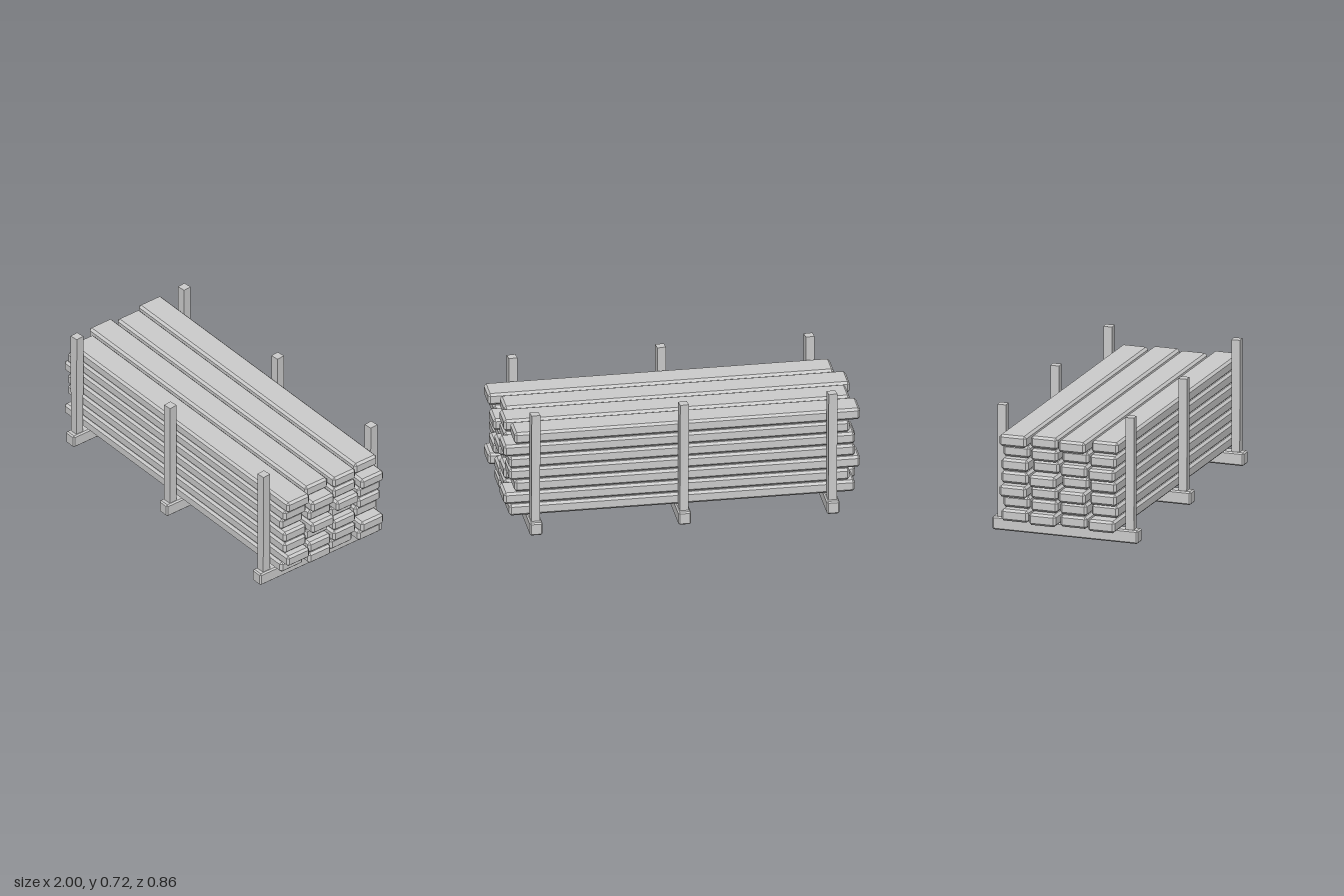
import * as THREE from 'three';
import { ConvexGeometry } from 'three/addons/geometries/ConvexGeometry.js';

const material = new THREE.MeshStandardMaterial({ color: 0xcccccc, flatShading: true });

// Box with every edge cut by a flat chamfer c
function chamferBox(w, h, d, c) {
  const points = [];
  for (const sx of [-1, 1]) for (const sy of [-1, 1]) for (const sz of [-1, 1]) {
    const x = w / 2, y = h / 2, z = d / 2;
    points.push(
      new THREE.Vector3(sx * x, sy * (y - c), sz * (z - c)),
      new THREE.Vector3(sx * (x - c), sy * y, sz * (z - c)),
      new THREE.Vector3(sx * (x - c), sy * (y - c), sz * z));
  }
  return new ConvexGeometry(points);
}

function addMesh(parent, name, geometry, x, y, z) {
  const mesh = new THREE.Mesh(geometry, material);
  mesh.name = name;
  mesh.position.set(x, y, z);
  parent.add(mesh);
  return mesh;
}

export function createModel() {
  const model = new THREE.Group();
  model.name = 'timberStack';

  // Stacked planks, bottom layer first; each row runs front to back,
  // giving the endwise shift of each plank in steps
  const shifts = [
    [-1, 0, -1, 0],
    [1, 0, 0, 1],
    [0, -1, 0, -1],
    [0, 1, -1, 0],
    [-1, 0, 1, 0],
    [0, 1, 0, 1],
    [1, -1, 0, -1],
  ];
  const planks = new THREE.Group();
  planks.name = 'planks';
  model.add(planks);
  const plank = chamferBox(1.94, 0.068, 0.158, 0.013);
  shifts.forEach((row, layer) => row.forEach((shift, column) => {
    addMesh(planks, 'plank', plank, shift * 0.03, 0.1215 + layer * 0.0728, 0.261 - column * 0.174);
  }));

  // Three racks: a cross bearer with an upright post at each end
  const bearer = chamferBox(0.072, 0.076, 0.86, 0.008);
  // Posts twist slightly from foot to top
  const post = new THREE.BoxGeometry(0.049, 0.65, 0.049);
  const p = post.attributes.position;
  const up = new THREE.Vector3(0, 1, 0), v = new THREE.Vector3();
  for (let i = 0; i < p.count; i++) {
    v.fromBufferAttribute(p, i).applyAxisAngle(up, p.getY(i) > 0 ? 0.09 : 0.03);
    p.setXYZ(i, v.x, v.y, v.z);
  }
  post.computeVertexNormals();
  for (const x of [-0.833, 0, 0.833]) {
    const rack = new THREE.Group();
    rack.name = 'rack';
    rack.position.x = x;
    model.add(rack);
    addMesh(rack, 'bearer', bearer, 0, 0.04, 0);
    for (const side of [-1, 1]) addMesh(rack, 'post', post, 0, 0.397, side * 0.378);
  }
  return model;
}
